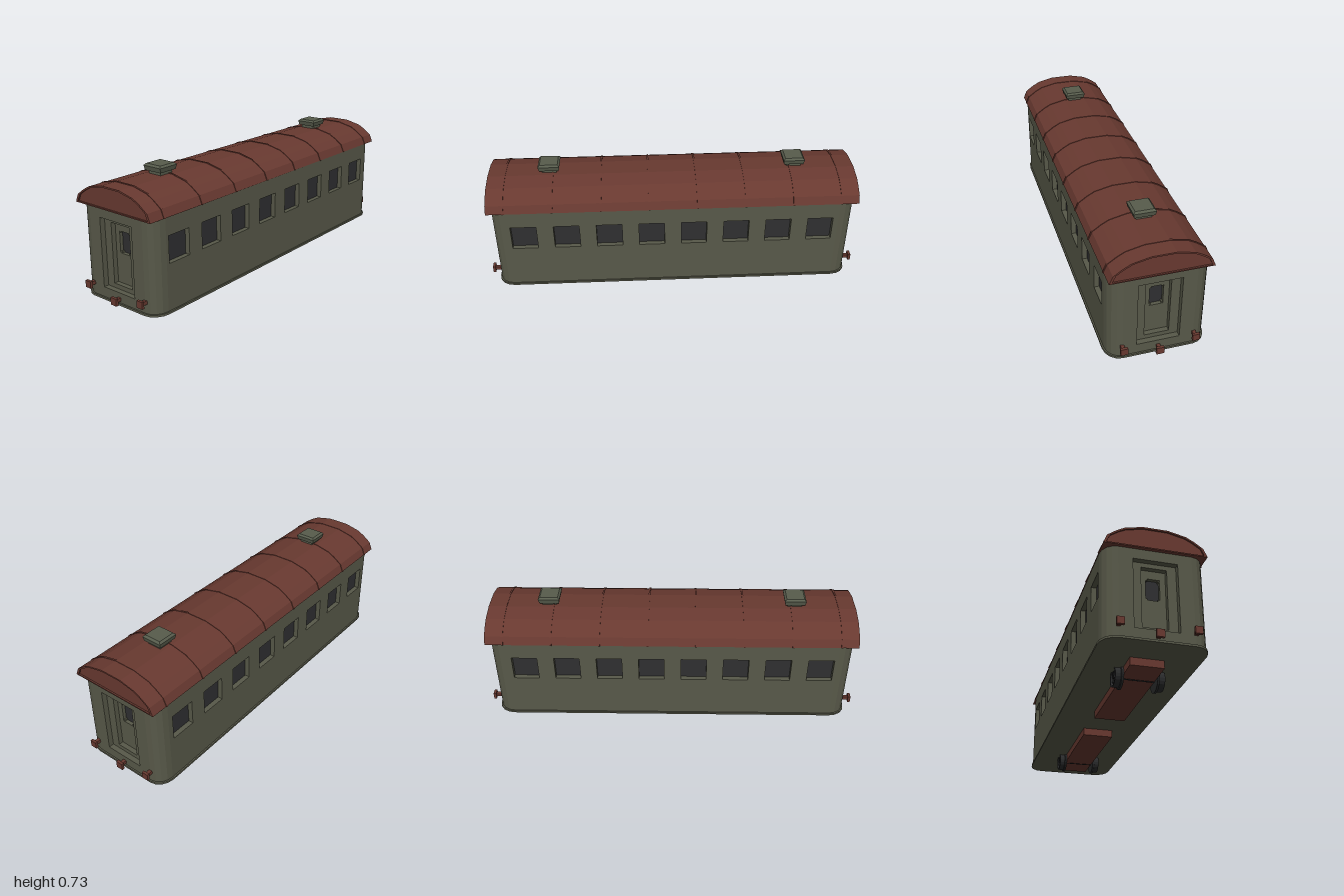
import * as THREE from 'three';

const mat = (name, color) => {
  const m = new THREE.MeshStandardMaterial({ color });
  m.name = name;
  return m;
};

export function createModel() {
  const olive = mat('olive paint', 0x585949);
  const red = mat('oxide red', 0x683930);
  const green = mat('vent green', 0x575c4c);
  const glass = mat('dark glass', 0x2f2f31);
  const iron = mat('wheel iron', 0x2b2c2d);

  const model = new THREE.Group();
  model.name = 'passengerCarriage';

  const add = (name, geo, material, x = 0, y = 0, z = 0, parent = model) => {
    const m = new THREE.Mesh(geo, material);
    m.name = name;
    m.position.set(x, y, z);
    parent.add(m);
    return m;
  };
  const box = (w, h, d) => new THREE.BoxGeometry(w, h, d);
  const flat = (geo) => {
    const g = geo.toNonIndexed();
    g.computeVertexNormals();
    return g;
  };
  const extrude = (shape, depth) => new THREE.ExtrudeGeometry(shape, { depth, bevelEnabled: false });
  const rectPoints = (x0, y0, x1, y1) =>
    [[x0, y0], [x1, y0], [x1, y1], [x0, y1]].map((p) => new THREE.Vector2(...p));
  // Upright panel with rectangular openings, front surface at z = 0
  const panel = (outer, holes, depth) => {
    const s = new THREE.Shape(rectPoints(...outer));
    for (const h of holes) s.holes.push(new THREE.Path(rectPoints(...h)));
    return extrude(s, depth).translate(0, 0, -depth);
  };

  // Body dimensions: half length, half width, corner radii, bottom and top
  const L = 0.96, W = 0.247, RX = 0.08, RZ = 0.07, Y0 = 0.1, Y1 = 0.57;
  const corner = (sx, sz, grow = 0) => {
    const pts = [];
    for (let i = 0; i <= 4; i++) {
      const a = (i / 4) * Math.PI / 2;
      pts.push(new THREE.Vector2(
        sx * (L - RX + Math.cos(a) * RX + grow * Math.cos(a)),
        sz * (W - RZ + Math.sin(a) * RZ + grow * Math.sin(a))));
    }
    return pts;
  };

  // Side walls with eight recessed windows each
  for (const s of [1, -1]) {
    const side = new THREE.Group();
    side.name = s > 0 ? 'frontSide' : 'backSide';
    side.rotation.y = s > 0 ? 0 : Math.PI;
    model.add(side);
    const holes = [];
    for (let i = 0; i < 8; i++) {
      const x = (i - 3.5) * 0.2255 - 0.006 * s;
      holes.push([x - 0.068, 0.34, x + 0.068, 0.476]);
      add('sideWindow', box(0.15, 0.15, 0.008), glass, x, 0.408, W - 0.03, side);
    }
    add('sideWall', panel([RX - L, Y0, L - RX, Y1], holes, 0.028), olive, 0, 0, W, side);
  }

  // End walls: doorway stepped inwards twice, then a door window
  for (const s of [1, -1]) {
    const end = new THREE.Group();
    end.name = s > 0 ? 'leftEnd' : 'rightEnd';
    end.rotation.y = s * Math.PI / 2;
    model.add(end);
    const opening = [-0.107, 0.155, 0.107, 0.513];
    const doorway = [-0.062, 0.178, 0.062, 0.49];
    const light = [-0.034, 0.335, 0.034, 0.447];
    add('endWall', panel([RZ - W, Y0, W - RZ, Y1], [opening], 0.028), olive, 0, 0, L, end);
    add('doorFrame', panel([-0.12, 0.14, 0.12, 0.53], [doorway], 0.025), olive, 0, 0, L - 0.028, end);
    add('door', panel([-0.075, 0.165, 0.075, 0.505], [light], 0.018), olive, 0, 0, L - 0.053, end);
    add('doorWindow', box(0.08, 0.125, 0.008), glass, 0, 0.391, L - 0.075, end);
    for (const x of [-0.03, 0.03]) for (const y of [0.339, 0.443])
      add('windowCorner', box(0.009, 0.009, 0.016), olive, x, y, L - 0.063, end);

    // Buffers and the central coupler
    for (const [x, y, size] of [[-0.179, 0.161, 0.036], [0.179, 0.161, 0.036], [0, 0.122, 0.038]]) {
      add('bufferStem', box(0.018, 0.018, 0.045), red, x, y, 0.97, end);
      add('bufferHead', box(size, size, 0.014), red, x, y, 0.993, end);
    }
  }

  // Rounded corner posts
  for (const sx of [1, -1]) for (const sz of [1, -1]) {
    const pts = [new THREE.Vector2(sx * (L - RX), sz * (W - RZ)), ...corner(sx, sz)];
    add('cornerPost', extrude(new THREE.Shape(pts), Y1 - Y0).rotateX(-Math.PI / 2), olive, 0, Y0, 0);
  }

  // Floor plate, a little wider than the walls
  const floor = [
    ...corner(1, 1, 0.008), ...corner(-1, 1, 0.008).reverse(),
    ...corner(-1, -1, 0.008), ...corner(1, -1, 0.008).reverse()];
  add('floorPlate', extrude(new THREE.Shape(floor), 0.011).rotateX(-Math.PI / 2), olive, 0, 0.092, 0);

  // Arched roof with a raised rim at each end and raised seams
  const arch = [[0.251, 0], [0.233, 0.042], [0.188, 0.074], [0.149, 0.095], [0.06, 0.115]];
  const archPoints = (kz, ky, lift = 0) => [
    ...arch.map(([z, y]) => new THREE.Vector2(z * kz, y * ky + lift)),
    ...arch.map(([z, y]) => new THREE.Vector2(-z * kz, y * ky + lift)).reverse()];
  const lengthwise = (shape, depth) =>
    extrude(shape, depth).translate(0, 0, -depth / 2).rotateY(Math.PI / 2);
  add('roof', lengthwise(new THREE.Shape(archPoints(1, 1)), 1.94), red, 0, 0.566, 0);
  const rim = new THREE.Shape(archPoints(1, 1));
  rim.holes.push(new THREE.Path(archPoints(0.94, 0.88, 0.006)));
  for (const s of [1, -1]) add('roofRim', lengthwise(rim, 0.008), red, s * 0.974, 0.566, 0);
  const seam = lengthwise(new THREE.Shape(archPoints(1.016, 1.025)), 0.009);
  for (let i = 0; i < 8; i++) add('roofSeam', seam, red, (i - 3.5) * 0.2535 - 0.002, 0.566, 0);

  // Square roof vents with flared caps
  const frustum = (top, bottom, h) =>
    flat(new THREE.CylinderGeometry(top * Math.SQRT2, bottom * Math.SQRT2, h, 4).rotateY(Math.PI / 4));
  for (const s of [1, -1]) {
    const vent = new THREE.Group();
    vent.name = 'roofVent';
    vent.position.set(s * 0.655, 0, -0.002);
    model.add(vent);
    add('ventNeck', box(0.078, 0.04, 0.078), green, 0, 0.68, 0, vent);
    add('ventFlare', frustum(0.057, 0.052, 0.024), green, 0, 0.71, 0, vent);
    add('ventCap', frustum(0.047, 0.057, 0.01), green, 0, 0.727, 0, vent);
  }

  // Underframes and flanged wheels
  const wheelProfile = [[0, 0.036], [0.009, 0.036], [0.009, 0.03], [0.024, 0.03], [0.026, 0.036],
    [0.03, 0.036], [0.036, 0.03], [0.042, 0.04], [0.049, 0.04], [0.051, 0.013], [0.058, 0.011], [0.058, 0], [0, 0]]
    .map((p) => new THREE.Vector2(...p)).reverse();
  const wheel = flat(new THREE.LatheGeometry(wheelProfile, 20).rotateX(Math.PI / 2));
  for (const s of [1, -1]) {
    add('underframe', box(0.67, 0.04, 0.164), red, s * 0.462 - 0.003, 0.073, 0);
    add('axle', new THREE.CylinderGeometry(0.008, 0.008, 0.17, 10).rotateX(Math.PI / 2), iron, s * 0.645, 0.058, 0);
    for (const sz of [1, -1]) {
      const w = add('wheel', wheel, iron, s * 0.645, 0.058, sz * 0.081);
      if (sz < 0) w.rotation.y = Math.PI;
    }
  }
  return model;
}
